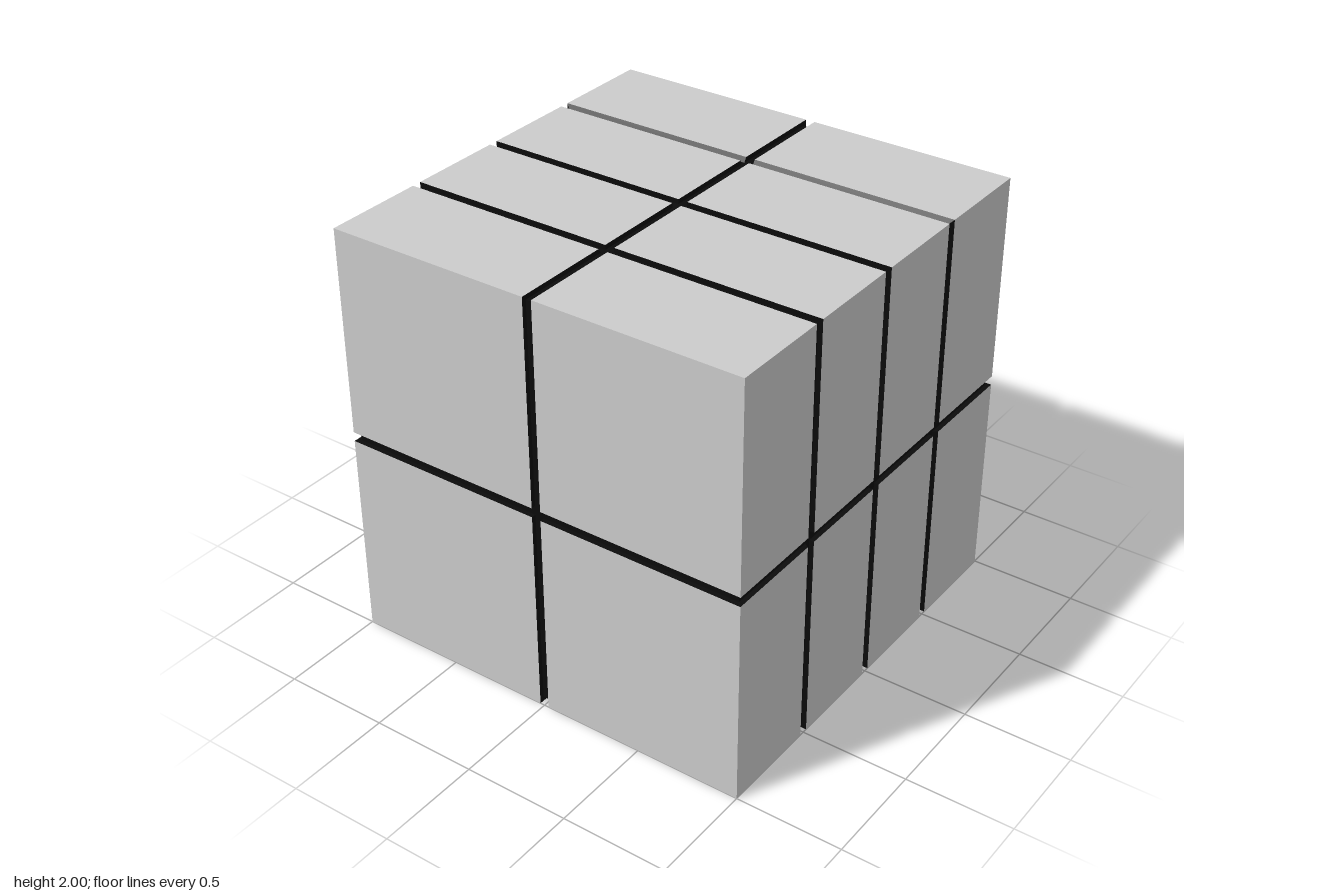
import * as THREE from 'three';

const GAP = 0.022;    // half the groove width, also its depth
const FLARE = 0.014;  // slope of the outer groove walls

export function createModel() {
  const model = new THREE.Group();
  const grey = new THREE.MeshStandardMaterial({ color: 0xcccccc });
  const black = new THREE.MeshStandardMaterial({ color: 0x0b0b0b });

  const add = (parent, name, geometry, material, x, y, z) => {
    const mesh = new THREE.Mesh(geometry, material);
    mesh.name = name;
    mesh.position.set(x, y, z);
    parent.add(mesh);
  };

  // Dark core that forms the groove floors
  const side = 2 - 2 * GAP;
  add(model, 'core', new THREE.BoxGeometry(side, side, side), black, 0, 1, 0);

  // Blocks: four columns, two rows, two layers; faces toward a groove are dark
  const blocks = new THREE.Group();
  blocks.name = 'blocks';
  model.add(blocks);
  const half = 1 - GAP;
  const mid = (1 + GAP) / 2;
  for (let column = 0; column < 4; column++) {
    const x0 = column === 0 ? -1 : -1 + column * 0.5 + GAP;
    const x1 = column === 3 ? 1 : -0.5 + column * 0.5 - GAP;
    for (const sy of [-1, 1]) {
      for (const sz of [-1, 1]) {
        const outer = [column === 3, column === 0, sy > 0, sy < 0, sz > 0, sz < 0];
        add(blocks, 'block', new THREE.BoxGeometry(x1 - x0, half, half),
          outer.map((o) => (o ? grey : black)), (x0 + x1) / 2, 1 + sy * mid, sz * mid);

        // Sloped dark wall on the inner side of each end block
        if (column === 0 || column === 3) {
          const sx = column === 3 ? 1 : -1;
          const wall = new THREE.BoxGeometry(FLARE, half, half);
          const p = wall.attributes.position;
          for (let i = 0; i < p.count; i++) {
            if (p.getX(i) * sx > 0) continue;
            if (p.getY(i) * sy > 0) p.setY(i, p.getY(i) - sy * GAP);
            if (p.getZ(i) * sz > 0) p.setZ(i, p.getZ(i) - sz * GAP);
          }
          wall.computeVertexNormals();
          add(blocks, 'slopedWall', wall, black,
            sx * (0.5 + GAP - FLARE / 2), 1 + sy * mid, sz * mid);
        }
      }
    }
  }
  return model;
}
